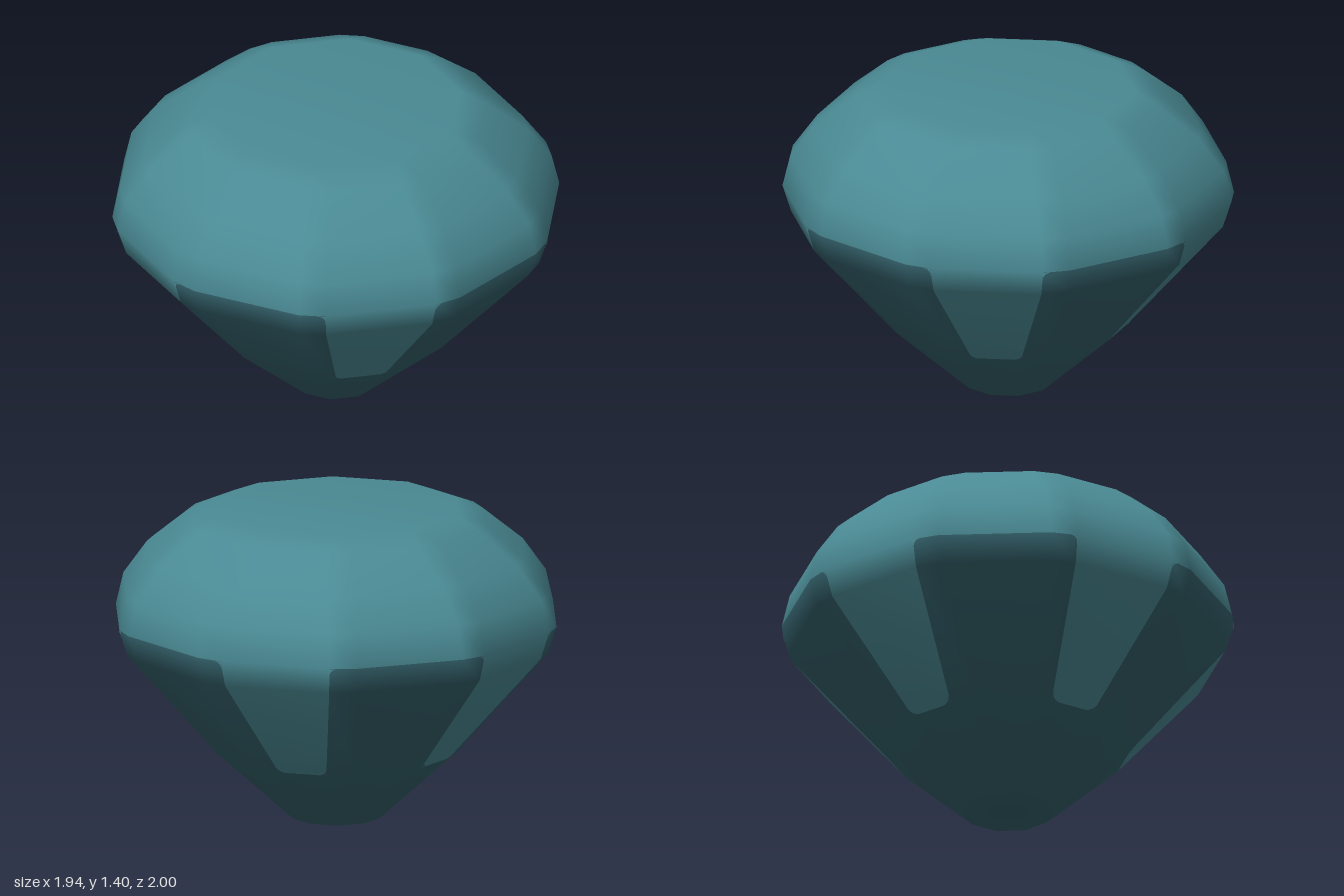
import * as THREE from 'three';

const SIDES = 10, COLS = SIDES * 2, HALF = Math.PI / SIDES;
// Rings from table to culet: [height, distance to flat side, half width of corner bevel]
const RINGS = [
  [1.405, 0.533, 0], [1.36, 0.65, 0.055], [1.205, 0.832, 0.06], [1.055, 0.935, 0.06],
  [0.91, 0.968, 0.06], [0.79, 0.932, 0.06], [0.31, 0.53, 0.06], [0, 0.193, 0],
];
const GIRDLE = 4, PANEL_END = 6;

export function createModel() {
  const group = new THREE.Group();
  group.name = 'gem';
  const teal = new THREE.MeshStandardMaterial({ color: 0x4a8a94 });
  teal.name = 'teal';
  const darkTeal = new THREE.MeshStandardMaterial({ color: 0x33606a });
  darkTeal.name = 'dark teal';

  // Ring points: two per bevelled corner, one per sharp corner
  const pts = [];
  const starts = RINGS.map(([y, flat, bevel]) => {
    const start = pts.length;
    const r = flat / Math.cos(HALF) - bevel * Math.tan(HALF);
    for (let k = 0; k < SIDES; k++) {
      const t = k * 2 * HALF;
      for (const s of bevel ? [-bevel, bevel] : [0]) {
        pts.push(new THREE.Vector3(r * Math.sin(t) + s * Math.cos(t), y, r * Math.cos(t) - s * Math.sin(t)));
      }
    }
    return start;
  });
  const id = (i, j) => {
    const c = (j + COLS) % COLS;
    return starts[i] + (RINGS[i][2] ? c : Math.floor(c / 2));
  };
  const topCentre = pts.push(new THREE.Vector3(0, RINGS[0][0], 0)) - 1;
  const baseCentre = pts.push(new THREE.Vector3(0, 0, 0)) - 1;

  // Faces sorted by part; every other lower panel is light
  const parts = { crown: [], lightPanels: [], pavilion: [] };
  const tri = (list, a, b, c) => { if (a !== b && b !== c && a !== c) list.push(a, b, c); };
  const last = RINGS.length - 1;
  for (let j = 0; j < COLS; j++) {
    tri(parts.crown, topCentre, id(0, j), id(0, j + 1));
    tri(parts.pavilion, baseCentre, id(last, j + 1), id(last, j));
    for (let i = 0; i < last; i++) {
      const light = j % 4 === 1 && i < PANEL_END;
      const list = i < GIRDLE ? parts.crown : light ? parts.lightPanels : parts.pavilion;
      const a = id(i, j), b = id(i, j + 1), c = id(i + 1, j + 1), d = id(i + 1, j);
      tri(list, a, d, c);
      tri(list, a, c, b);
    }
  }

  // Normals are shared by all parts so the bevels blend smoothly
  const whole = new THREE.BufferGeometry().setFromPoints(pts);
  whole.setIndex([...parts.crown, ...parts.lightPanels, ...parts.pavilion]);
  whole.computeVertexNormals();
  for (const [name, index] of Object.entries(parts)) {
    const g = new THREE.BufferGeometry();
    g.setAttribute('position', whole.attributes.position);
    g.setAttribute('normal', whole.attributes.normal);
    g.setIndex(index);
    const mesh = new THREE.Mesh(g, name === 'pavilion' ? darkTeal : teal);
    mesh.name = name;
    group.add(mesh);
  }

  // Thin fillet that rounds a painted corner p between the edges to a and b
  function fillet(name, p, a, b, size, material) {
    const P = pts[p];
    const u = pts[a].clone().sub(P).setLength(size);
    const v = pts[b].clone().sub(P).setLength(size);
    const face = u.clone().cross(v).normalize();
    if (face.dot(P) < 0 && face.dot(new THREE.Vector3(P.x, 0, P.z)) < 0) { u.copy(v); v.copy(pts[a]).sub(P).setLength(size); face.negate(); }
    const base = P.clone().addScaledVector(face, 0.002);
    const arc = new THREE.QuadraticBezierCurve3(base.clone().add(u), base, base.clone().add(v)).getPoints(6);
    const g = new THREE.BufferGeometry().setFromPoints([base, ...arc]);
    const index = [];
    for (let n = 1; n < 7; n++) index.push(0, n, n + 1);
    g.setIndex(index);
    const normal = new THREE.Vector3().fromBufferAttribute(whole.attributes.normal, p);
    g.setAttribute('normal', new THREE.Float32BufferAttribute(Array(8).fill(normal.toArray()).flat(), 3));
    const mesh = new THREE.Mesh(g, material);
    mesh.name = name;
    group.add(mesh);
  }
  for (let j = 1; j < COLS; j += 4) {
    for (const [edge, inward] of [[j, 1], [j + 1, -1]]) {
      fillet('panelCorner', id(PANEL_END, edge), id(PANEL_END, edge + inward), id(PANEL_END - 1, edge), 0.05, darkTeal);
      fillet('girdleCorner', id(GIRDLE, edge), id(GIRDLE, edge - inward), id(GIRDLE + 1, edge), 0.04, teal);
    }
  }
  return group;
}
